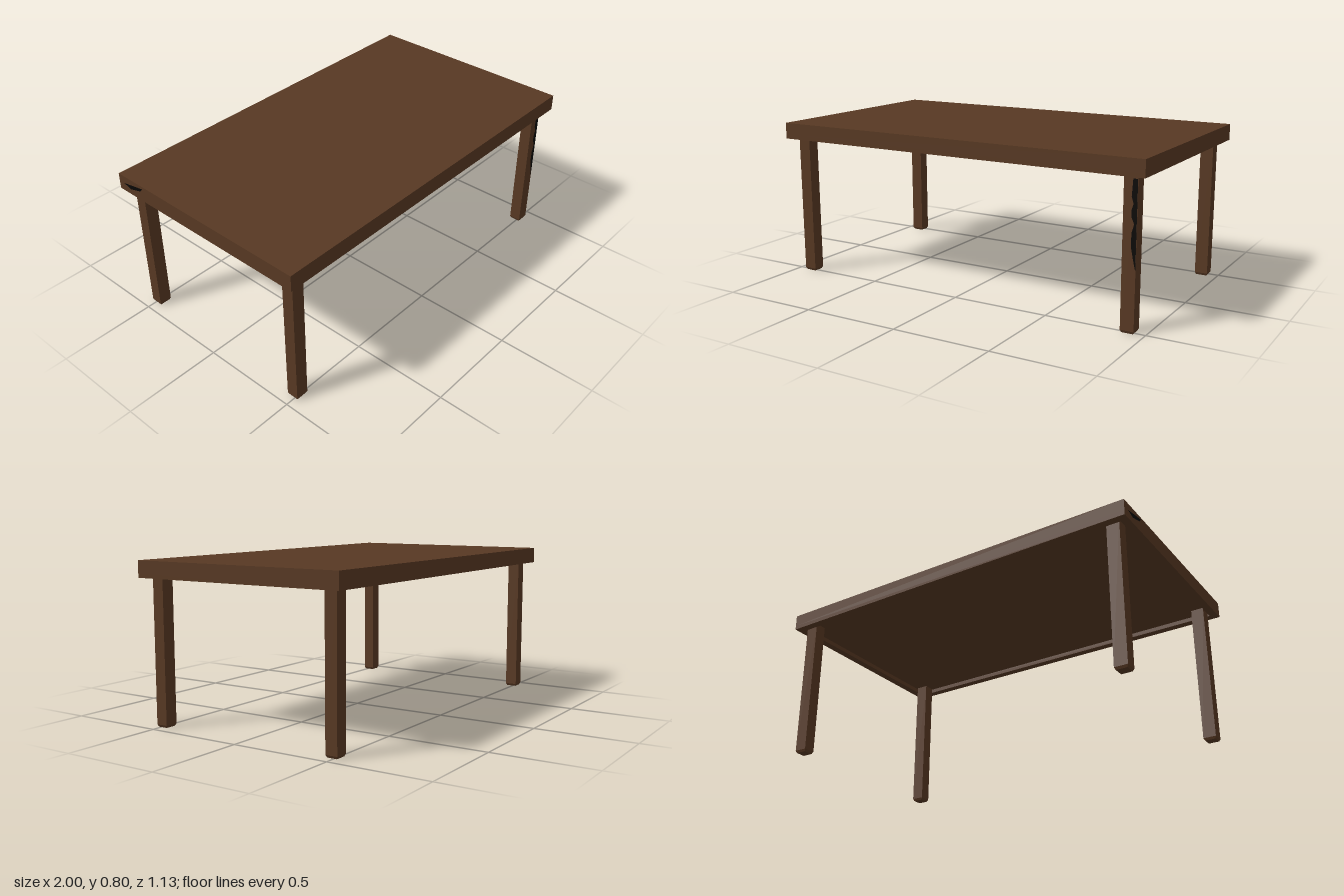
import * as THREE from 'three';

const W = 2, D = 1.13, TOP = 0.797, UNDER = 0.715, RECESS = 0.022, RIM = 0.04;

export function createModel() {
  const model = new THREE.Group();
  model.name = 'table';
  const wood = new THREE.MeshStandardMaterial({ color: 0x583923 });
  wood.name = 'brown wood';
  const stain = new THREE.MeshStandardMaterial({ color: 0x0a0806 });
  stain.name = 'black stain';

  const add = (name, geometry, material, x, y, z) => {
    const mesh = new THREE.Mesh(geometry, material);
    mesh.name = name;
    mesh.position.set(x, y, z);
    model.add(mesh);
    return mesh;
  };

  // Closed rectangle outline centred on the origin
  const rectangle = (Type, w, d) => new Type([
    new THREE.Vector2(-w / 2, -d / 2), new THREE.Vector2(w / 2, -d / 2),
    new THREE.Vector2(w / 2, d / 2), new THREE.Vector2(-w / 2, d / 2),
  ]);

  // Table top: slab over a shallow rim that leaves the underside recessed
  const slabBottom = UNDER + RECESS;
  add('tableTop', new THREE.BoxGeometry(W, TOP - slabBottom, D), wood, 0, (TOP + slabBottom) / 2, 0);
  const rim = rectangle(THREE.Shape, W, D);
  rim.holes.push(rectangle(THREE.Path, W - 2 * RIM, D - 2 * RIM));
  const rimGeometry = new THREE.ExtrudeGeometry(rim, { depth: RECESS, bevelEnabled: false });
  rimGeometry.rotateX(-Math.PI / 2);
  add('topRim', rimGeometry, wood, 0, UNDER, 0);

  // Square legs with a small chamfer round each foot
  const LEG_W = 0.066, LEG_D = 0.061, FOOT = 0.012;
  const foot = new THREE.CylinderGeometry(Math.SQRT1_2, Math.SQRT1_2 * 0.82, FOOT, 4).toNonIndexed();
  foot.rotateY(Math.PI / 4).scale(LEG_W, 1, LEG_D);
  foot.computeVertexNormals();
  const shaft = new THREE.BoxGeometry(LEG_W, slabBottom - FOOT, LEG_D);
  for (const sx of [-1, 1]) {
    for (const sz of [-1, 1]) {
      const name = (sz > 0 ? 'front' : 'back') + (sx > 0 ? 'Left' : 'Right');
      add(name + 'Leg', shaft, wood, sx * 0.918, (slabBottom + FOOT) / 2, sz * 0.49);
      add(name + 'Foot', foot, wood, sx * 0.918, FOOT / 2, sz * 0.49);
    }
  }

  // Irregular dark marks, as thin plates on the wood
  const mark = (points) => new THREE.ShapeGeometry(
    new THREE.Shape(points.map(([x, y]) => new THREE.Vector2(x, y))));
  add('legStain', mark([
    [0.95, 0.29], [0.95, 0.7], [0.928, 0.7], [0.923, 0.62], [0.933, 0.59],
    [0.924, 0.56], [0.925, 0.53], [0.938, 0.5], [0.927, 0.46], [0.926, 0.4], [0.938, 0.34],
  ]), stain, 0, 0, 0.4905 + LEG_D / 2);
  const edgeStain = add('edgeStain', mark([
    [-0.53, 0.758], [-0.48, 0.745], [-0.41, 0.765], [-0.39, 0.785], [-0.46, 0.772],
  ]), stain, -W / 2 - 0.001, 0, 0);
  edgeStain.rotation.y = -Math.PI / 2;

  return model;
}
